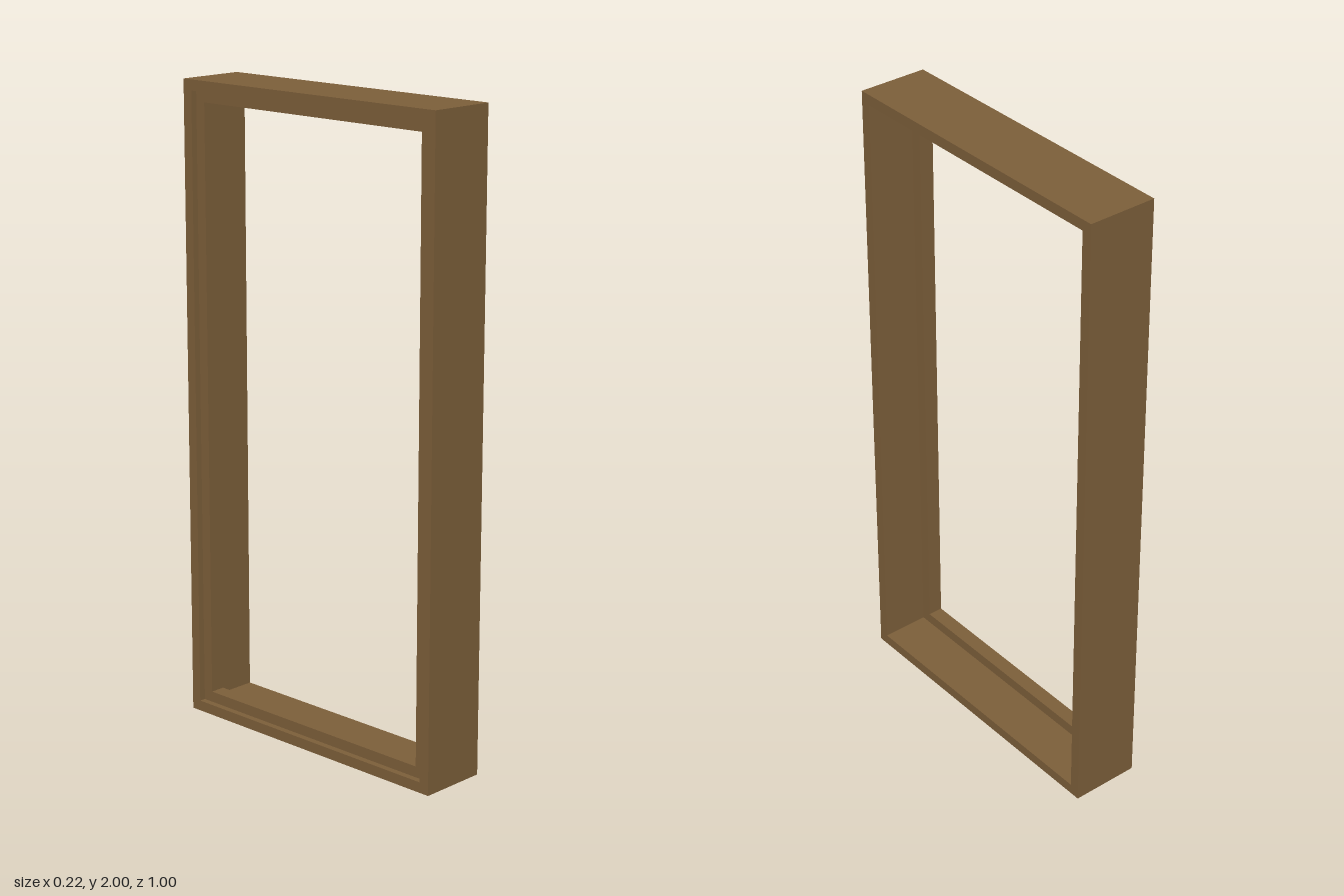
import * as THREE from 'three';

const HEIGHT = 2, WIDTH = 1, DEPTH = 0.22;
const BOARD = 0.033; // thickness of the outer boards
const STOP = 0.034;  // how far the stop projects into the opening

// Trace a rectangle inset from the outer outline
function traceRect(path, inset) {
  const w = WIDTH / 2 - inset, b = inset, t = HEIGHT - inset;
  path.moveTo(-w, b);
  path.lineTo(w, b);
  path.lineTo(w, t);
  path.lineTo(-w, t);
  path.closePath();
  return path;
}

// Rectangular ring between two insets, running along x from x0 to x1
function ring(name, outer, inner, x0, x1, material) {
  const shape = traceRect(new THREE.Shape(), outer);
  shape.holes.push(traceRect(new THREE.Path(), inner));
  const geometry = new THREE.ExtrudeGeometry(shape, { depth: x1 - x0, bevelEnabled: false });
  geometry.rotateY(Math.PI / 2);
  geometry.translate(x0, 0, 0);
  const mesh = new THREE.Mesh(geometry, material);
  mesh.name = name;
  return mesh;
}

export function createModel() {
  const group = new THREE.Group();
  group.name = 'doorFrame';
  const wood = new THREE.MeshStandardMaterial({ color: 0x7d5f3a });

  // Jambs, head and sill
  group.add(ring('outerFrame', 0, BOARD, -DEPTH / 2, DEPTH / 2, wood));
  // Raised stop set just inside the left-hand (-x) face
  group.add(ring('doorStop', BOARD, BOARD + STOP, -0.09, -0.042, wood));
  return group;
}
